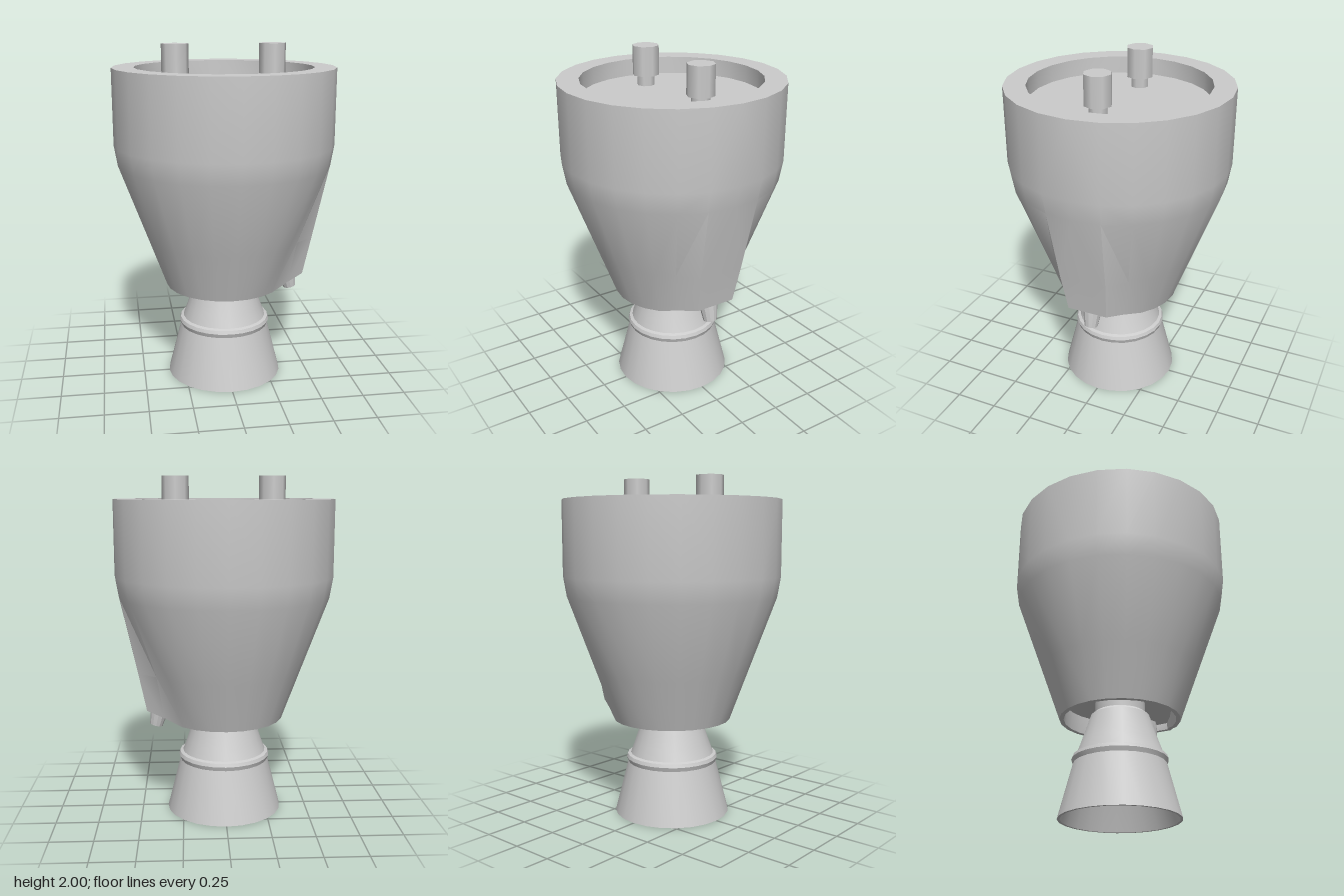
import * as THREE from 'three';
import { mergeGeometries, toCreasedNormals } from 'three/addons/utils/BufferGeometryUtils.js';

const material = new THREE.MeshStandardMaterial({ color: 0xcccccc });

const toPoints = (list) => list.map(([r, y]) => new THREE.Vector2(r, y));

function lathe(name, list, sides) {
  const geometry = toCreasedNormals(new THREE.LatheGeometry(toPoints(list), sides), 0.5);
  const mesh = new THREE.Mesh(geometry, material);
  mesh.name = name;
  return mesh;
}

// Housing: half a lathe whose lower columns are pulled out into a fairing, then mirrored
function createHousing() {
  const profile = toPoints([
    [0, 0.68], [0.32, 0.68], [0.325, 0.575], [0.35, 0.575], [0.458, 0.87], [0.62, 1.31],
    [0.64, 1.43], [0.64, 1.87], [0.515, 1.87], [0.515, 1.77], [0, 1.77],
  ]);
  const half = new THREE.LatheGeometry(profile, 12, Math.PI / 2, Math.PI);

  // Fairing: profile row -> new position of each column, from the middle outwards
  const fairing = {
    1: [[0.44, 0.68, 0], [0.43, 0.68, 0.11], [0.335, 0.68, 0.17]],
    2: [[0.435, 0.64, 0], [0.435, 0.64, 0.11], [0.33, 0.61, 0.165]],
    3: [[0.46, 0.64, 0], [0.46, 0.64, 0.12], [0.355, 0.61, 0.18]],
    4: [[0.506, 0.87, 0], [0.506, 0.87, 0.14]],
  };
  const position = half.attributes.position;
  for (const [row, columns] of Object.entries(fairing)) {
    columns.forEach(([x, y, z], i) => position.setXYZ(i * profile.length + Number(row), x, y, -z));
  }

  // Mirrored half with its winding reversed
  const other = half.clone().scale(1, 1, -1);
  other.setIndex(Array.from(half.index.array).reverse());

  const mesh = new THREE.Mesh(toCreasedNormals(mergeGeometries([half, other]), 0.5), material);
  mesh.name = 'housing';
  return mesh;
}

// Post: a wide cap on a narrow stem
function createPost(side) {
  const post = new THREE.Group();
  post.name = side > 0 ? 'leftPost' : 'rightPost';
  for (const [name, radius, bottom, top] of [['stem', 0.052, 1.76, 1.84], ['cap', 0.078, 1.83, 2]]) {
    const mesh = new THREE.Mesh(new THREE.CylinderGeometry(radius, radius, top - bottom, 8), material);
    mesh.name = name;
    mesh.position.y = (bottom + top) / 2;
    post.add(mesh);
  }
  post.position.x = side * 0.28;
  return post;
}

export function createModel() {
  const model = new THREE.Group();
  model.name = 'rocketEngine';
  model.add(createHousing(), createPost(1), createPost(-1));

  // Main nozzle: hollow bell, closed at the throat, with a reinforcing band
  model.add(lathe('mainNozzle', [
    [0, 0.58], [0.14, 0.58], [0.185, 0.5], [0.235, 0.36], [0.33, 0],
    [0.345, 0], [0.266, 0.31], [0.275, 0.335], [0.268, 0.355], [0.25, 0.362],
    [0.225, 0.43], [0.198, 0.51], [0.17, 0.595], [0.145, 0.615], [0.145, 0.69],
  ], 24));

  // Exhaust: small tilted hollow pipe below the fairing
  const exhaust = lathe('exhaust', [
    [0, 0.04], [0.035, 0.04], [0.03, 0], [0.039, 0], [0.053, 0.085], [0.056, 0.11], [0.056, 0.18],
  ], 12);
  exhaust.position.set(0.412, 0.52, 0);
  exhaust.rotation.z = 0.23;
  model.add(exhaust);

  return model;
}
